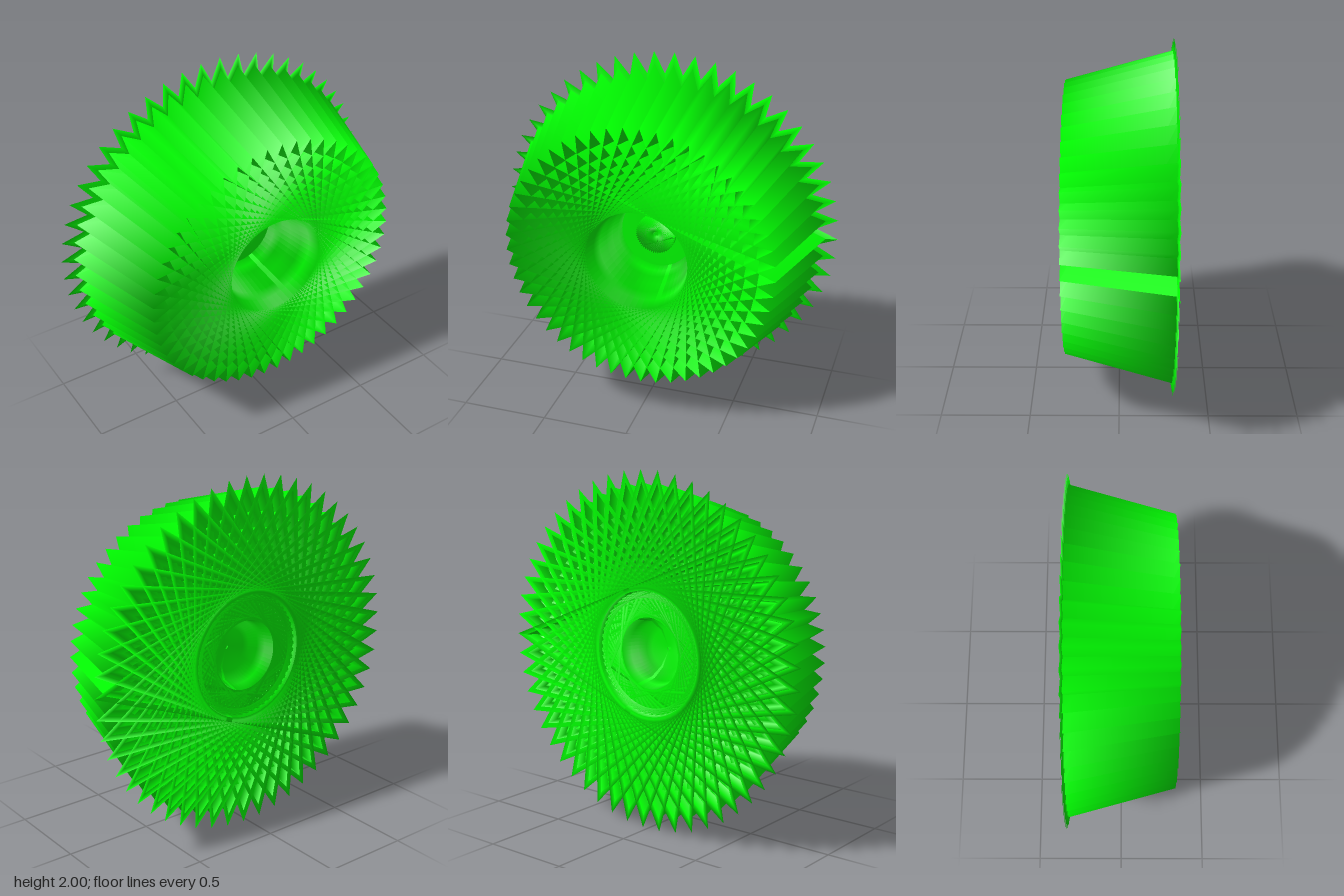
import * as THREE from 'three';

const TIPS = 53;   // points of the star
const SKIP = 20;   // each chord joins a tip to the 20th one after it

// Sweeps a profile of [radius, z] points along the chords of a star polygon
function starSweep(name, profile, material) {
  const geometry = new THREE.LatheGeometry(profile.map(([r, z]) => new THREE.Vector2(r, z)), TIPS);
  const position = geometry.attributes.position;
  for (let i = 0; i <= TIPS; i++) {
    const angle = (i * SKIP * Math.PI * 2) / TIPS;
    profile.forEach(([r, z], j) => {
      position.setXYZ(i * profile.length + j, r * Math.cos(angle), r * Math.sin(angle), z);
    });
  }
  geometry.computeVertexNormals();
  const mesh = new THREE.Mesh(geometry, material);
  mesh.name = name;
  return mesh;
}

export function createModel() {
  const model = new THREE.Group();
  model.name = 'starWheel';
  const green = new THREE.MeshStandardMaterial({ color: 0x00ff00, side: THREE.DoubleSide });

  const wheel = new THREE.Group();
  wheel.name = 'wheel';
  wheel.position.y = 1;
  model.add(wheel);

  const parts = {
    // tapered drum, wider at the back
    outerWall: [[0.93, -0.29], [0.77, 0.3]],
    // thin pointed flange around the back
    backLip: [[0.93, -0.29], [1, -0.3], [0.93, -0.297]],
    // grooved rings on the back
    backRings: [[0.93, -0.297], [0.89, -0.25], [0.83, -0.28], [0.76, -0.23], [0.66, -0.23], [0.58, -0.27], [0.53, -0.27]],
    // recess in the middle of the back
    backRecess: [[0.53, -0.27], [0.46, -0.16], [0.3, -0.11], [0.03, -0.1]],
    // bowl sunk into the front
    frontBowl: [[0.77, 0.3], [0.69, 0.16], [0.62, 0.02], [0.56, -0.08]],
    // floor of the bowl
    bowlFloor: [[0.56, -0.08], [0.115, -0.09]],
    // small raised boss at the centre
    centreBoss: [[0.115, -0.09], [0.115, -0.04], [0.03, -0.06]],
  };
  for (const [name, profile] of Object.entries(parts)) wheel.add(starSweep(name, profile, green));

  return model;
}
